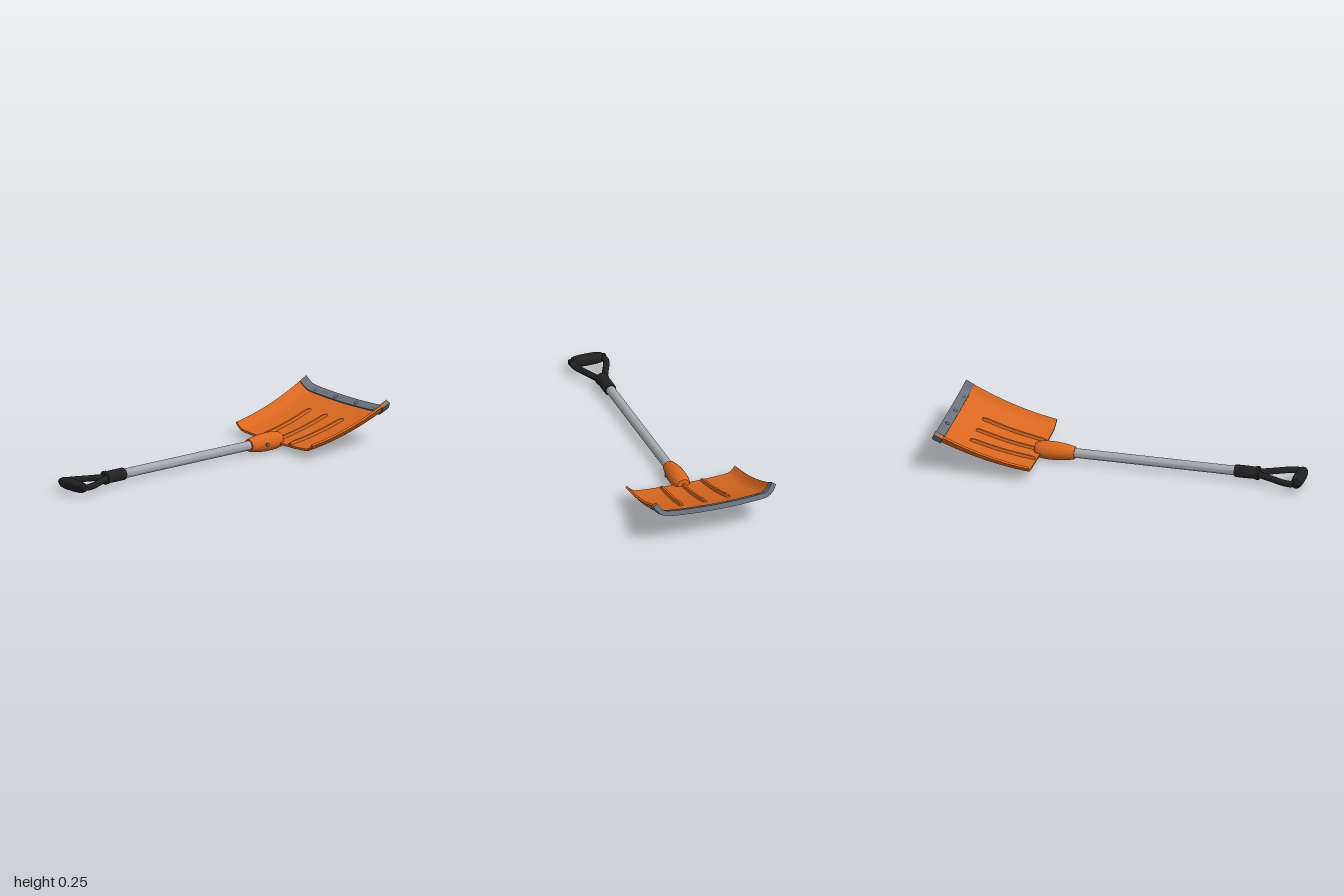
import * as THREE from 'three';
import { toCreasedNormals } from 'three/addons/utils/BufferGeometryUtils.js';

const material = (name, color) => {
  const m = new THREE.MeshStandardMaterial({ color });
  m.name = name;
  return m;
};

// Solid from rings; each ring is an upper row followed by the lower row reversed
function loft(rings) {
  const n = rings[0].length, half = n / 2, last = rings.length - 1, pos = [];
  const quad = (a, b, c, d) => pos.push(...a, ...b, ...c, ...a, ...c, ...d);
  for (let s = 0; s < last; s++) {
    for (let i = 0; i < n; i++) {
      const j = (i + 1) % n;
      quad(rings[s][i], rings[s][j], rings[s + 1][j], rings[s + 1][i]);
    }
  }
  for (let i = 0; i < half - 1; i++) {
    const near = rings[0], far = rings[last], k = n - 1 - i;
    quad(near[i], near[k], near[k - 1], near[i + 1]);
    quad(far[i + 1], far[k - 1], far[k], far[i]);
  }
  const geo = new THREE.BufferGeometry();
  geo.setAttribute('position', new THREE.Float32BufferAttribute(pos, 3));
  return toCreasedNormals(geo, 0.6);
}

// Blade centreline, its slope, and the half width along t (0 at the socket, 1 at the tip)
const bladeZ = t => -0.465 - 0.525 * t;
const bladeY = t => 0.045 + 0.142 * (0.4 * t + 0.6 * t * t);
const slope = t => (0.142 / 0.525) * (0.4 + 1.2 * t);
const halfWidth = t => 0.31 + 0.027 * t;

// Half of the blade cross-section: shallow floor, rounded corner, flared wall
const half = [[0, 0], [0.3, 0.0015], [0.6, 0.006], [0.8, 0.011], [0.86, 0.015],
  [0.9, 0.022], [0.935, 0.032], [0.97, 0.046], [1, 0.061]];
const section = [...half.slice(1).reverse().map(([x, y]) => [-x, y]), ...half];

function bladeRing(t, upper, lower) {
  const w = halfWidth(t), k = 0.75 + 0.25 * Math.min(t, 1);
  const pts = section.map(([x, y]) => [x * w, y * k]);
  const row = offset => pts.map(([x, y], i) => {
    const a = pts[Math.max(i - 1, 0)], b = pts[Math.min(i + 1, pts.length - 1)];
    const dx = b[0] - a[0], dy = b[1] - a[1], len = Math.hypot(dx, dy);
    const h = y + (dx / len) * offset;
    return [x - (dy / len) * offset, bladeY(t) + h, bladeZ(t) + slope(t) * h];
  });
  return [...row(upper), ...row(lower).reverse()];
}

function bladeSlab(t0, t1, steps, upper, lower) {
  const rings = [];
  for (let s = 0; s <= steps; s++) rings.push(bladeRing(t0 + (t1 - t0) * s / steps, upper, lower));
  return loft(rings);
}

// Raised rib lying on the blade, from x0 near the socket to x1
function ribGeometry(x0, x1) {
  const rings = [], steps = 14;
  for (let s = 0; s <= steps; s++) {
    const u = s / steps, t = 0.015 + 0.68 * u, x = x0 + (x1 - x0) * u;
    const y = bladeY(t) + 0.02 * x * x / 0.1;
    const top = (s === 0 || s === steps) ? 0.008 : 0.014;
    const p = (dx, h) => [x + dx, y + h, bladeZ(t) + slope(t) * h];
    rings.push([p(-0.011, 0), p(-0.006, top), p(0.006, top), p(0.011, 0),
      p(0.011, -0.006), p(0.006, -0.006), p(-0.006, -0.006), p(-0.011, -0.006)]);
  }
  return loft(rings);
}

// Turned part with its axis along z; profile is [radius, z] with z falling
function turned(profile, sides = 28) {
  const geo = new THREE.LatheGeometry(profile.map(([r, z]) => new THREE.Vector2(r, -z)), sides);
  return toCreasedNormals(geo.rotateX(-Math.PI / 2), 0.6);
}

const curve = pts => new THREE.CatmullRomCurve3(pts.map(p => new THREE.Vector3(...p)));

export function createModel() {
  const group = new THREE.Group();
  const orange = material('orange plastic', 0xdb6820);
  const steel = material('grey steel', 0x6a717c);
  const silver = material('silver aluminium', 0xa6aaaf);
  const black = material('black grip', 0x212121);
  const axisY = 0.053;

  const add = (name, geo, mat, x = 0, y = 0, z = 0) => {
    const mesh = new THREE.Mesh(geo, mat);
    mesh.name = name;
    mesh.position.set(x, y, z);
    group.add(mesh);
    return mesh;
  };

  // Blade, ribs and the spine below
  add('blade', bladeSlab(0, 1, 24, 0, -0.012), orange);
  for (const side of [-1, 0, 1]) add('bladeRib', ribGeometry(side * 0.115, side * 0.135), orange);
  const spine = curve([[0, 0.03, -0.44], [0, 0.029, -0.52], [0, 0.043, -0.62], [0, 0.071, -0.72]]);
  add('spine', new THREE.TubeGeometry(spine, 16, 0.014, 10), orange);
  add('spineEnd', new THREE.SphereGeometry(0.014, 10, 8), orange, 0, 0.071, -0.72);

  // Wear strip wrapped around the tip, with rivets
  add('wearStrip', bladeSlab(0.925, 1.018, 4, 0.007, -0.019), steel);
  for (const x of [-0.25, -0.085, 0.085, 0.25]) {
    const t = 0.965, h = 0.007 + 0.1 * x * x;
    const rivet = add('rivet', new THREE.SphereGeometry(0.012, 14, 6, 0, Math.PI * 2, 0, Math.PI / 2),
      steel, x, bladeY(t) + h, bladeZ(t) + slope(t) * h);
    rivet.scale.y = 0.6;
    rivet.rotation.x = Math.atan(slope(t));
  }

  // Socket with its bolt
  add('socket', turned([[0.025, -0.28], [0.034, -0.28], [0.039, -0.3], [0.046, -0.34], [0.05, -0.38],
    [0.05, -0.43], [0.047, -0.465], [0.042, -0.49], [0.034, -0.5], [0, -0.502]]), orange, 0, axisY);
  const bolt = add('bolt', new THREE.CylinderGeometry(0.01, 0.01, 0.012, 12), steel, 0.05, axisY, -0.37);
  bolt.rotation.z = Math.PI / 2;

  // Pole and handle sleeve
  add('pole', turned([[0.026, 0.64], [0.026, -0.3]]), silver, 0, axisY);
  add('handleSleeve', turned([[0, 0.75], [0.03, 0.75], [0.038, 0.742], [0.037, 0.73], [0.032, 0.712],
    [0.034, 0.7], [0.034, 0.615], [0.031, 0.608], [0, 0.608]]), black, 0, axisY);

  // Handle arms bending into the grip
  for (const side of [-1, 1]) {
    const arm = curve([[side * 0.012, axisY, 0.735], [side * 0.05, axisY, 0.82],
      [side * 0.085, axisY, 0.9], [side * 0.091, axisY, 0.94], [side * 0.07, axisY, 0.965]]);
    add('handleArm', new THREE.TubeGeometry(arm, 24, 0.0175, 12), black);
  }
  const grip = turned([[0, 0.106], [0.014, 0.106], [0.018, 0.1], [0.018, 0.088], [0.027, 0.082], [0.031, 0.06],
    [0.033, 0.03], [0.033, -0.03], [0.031, -0.06], [0.027, -0.082], [0.018, -0.088], [0.018, -0.1],
    [0.014, -0.106], [0, -0.106]]);
  add('grip', grip.rotateY(Math.PI / 2), black, 0, axisY, 0.967);

  return group;
}
